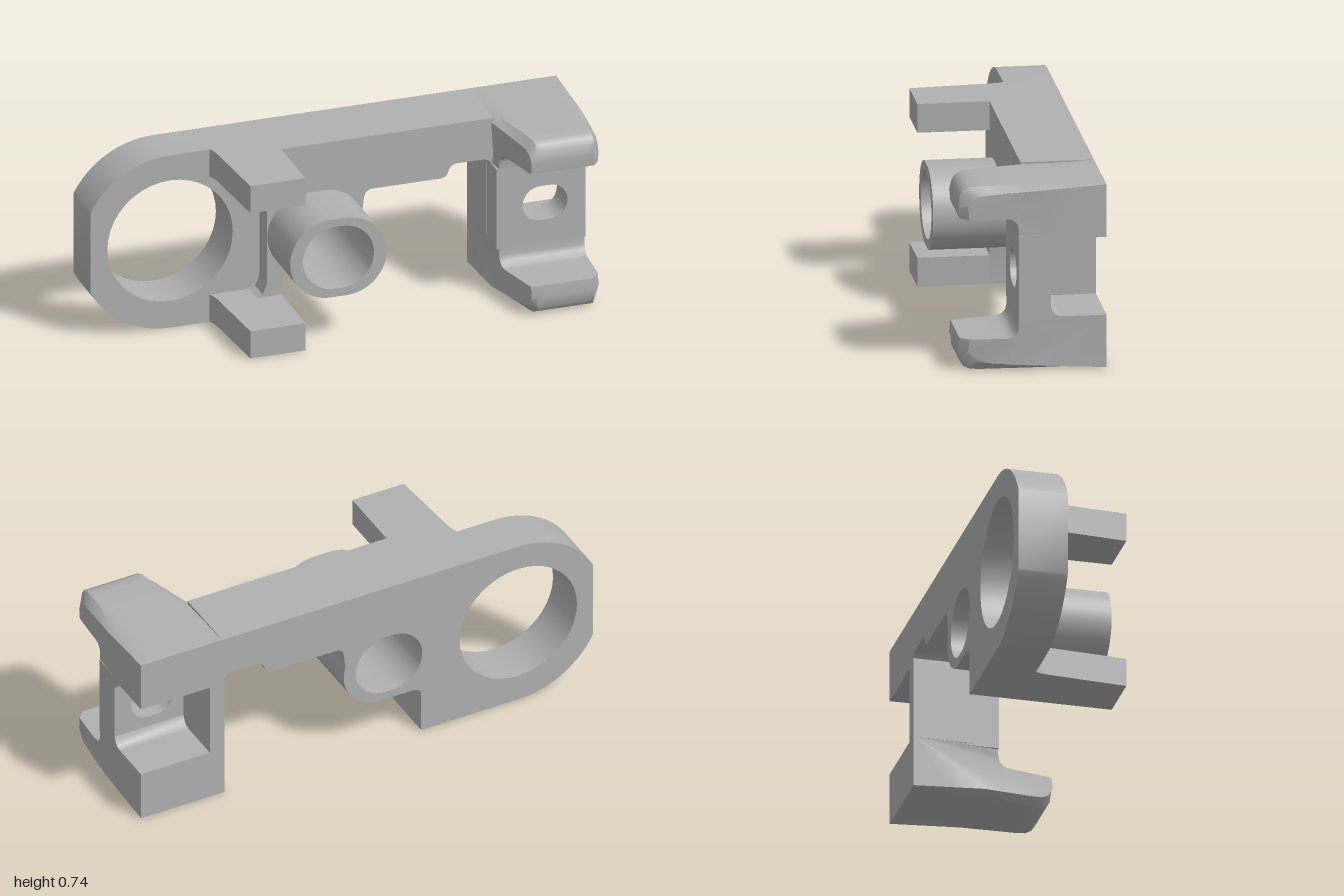
import * as THREE from 'three';
import { toCreasedNormals } from 'three/addons/utils/BufferGeometryUtils.js';

const H = 0.743, MID = H / 2, BACK = -0.29;

const poly = pts => new THREE.Shape(pts.map(p => new THREE.Vector2(p[0], p[1])));

// Horizontal oval: half width rx, half height ry, rounded ends
function oval(path, cx, cy, rx, ry) {
  const d = rx - ry;
  path.absarc(cx + d, cy, ry, -Math.PI / 2, Math.PI / 2, false);
  path.absarc(cx - d, cy, ry, Math.PI / 2, Math.PI * 1.5, false);
  path.closePath();
  return path;
}

function extrude(shape, depth, steps = 1) {
  return new THREE.ExtrudeGeometry(shape, { depth, steps, bevelEnabled: false, curveSegments: 20 });
}

export function createModel() {
  const group = new THREE.Group();
  const grey = new THREE.MeshStandardMaterial({ color: 0xb0b0b0 });
  grey.name = 'grey';
  const add = (name, geo) => {
    const mesh = new THREE.Mesh(toCreasedNormals(geo, 0.6), grey);
    mesh.name = name;
    group.add(mesh);
  };

  // Ring plate: round end cut flat at the tip, with a large bore
  const ring = new THREE.Shape();
  const cut = Math.acos(-0.33 / MID);
  ring.moveTo(-0.3, 0);
  ring.lineTo(-0.3, H);
  ring.lineTo(-0.67, H);
  ring.absarc(-0.67, MID, MID, Math.PI / 2, cut, false);
  ring.absarc(-0.67, MID, MID, 2 * Math.PI - cut, 1.5 * Math.PI, false);
  ring.closePath();
  ring.holes.push(new THREE.Path().absarc(-0.67, 0.375, 0.26, 0, Math.PI * 2, true));
  add('ringPlate', extrude(ring, 0.2).translate(0, 0, BACK));

  // Body: top bar with a stepped underside, flowing around the boss
  const body = new THREE.Shape();
  body.moveTo(-0.3, H);
  body.lineTo(-0.3, 0);
  body.lineTo(-0.24, 0);
  body.lineTo(-0.24, 0.17);
  body.quadraticCurveTo(-0.24, 0.205, -0.2, 0.205);
  body.lineTo(-0.065, 0.205);
  body.absarc(-0.065, 0.372, 0.167, -Math.PI / 2, 0.3, false);
  body.lineTo(0.102, 0.48);
  body.quadraticCurveTo(0.105, 0.515, 0.14, 0.515);
  body.lineTo(0.42, 0.515);
  body.quadraticCurveTo(0.445, 0.517, 0.452, 0.54);
  body.quadraticCurveTo(0.46, 0.57, 0.49, 0.57);
  body.lineTo(0.59, 0.57);
  body.quadraticCurveTo(0.63, 0.57, 0.635, 0.53);
  body.lineTo(0.64, H);
  body.closePath();
  body.holes.push(oval(new THREE.Path(), -0.098, 0.373, 0.147, 0.133));
  add('body', extrude(body, -BACK).translate(0, 0, BACK));

  // Hollow boss
  const boss = oval(new THREE.Shape(), -0.098, 0.372, 0.2, 0.167);
  boss.holes.push(oval(new THREE.Path(), -0.098, 0.373, 0.147, 0.133));
  add('boss', extrude(boss, 0.28).translate(0, 0, -0.01));

  // Pair of forward arms with a slightly slanted outer face
  const arm = poly([[-0.51, 0.1], [-0.497, 0.07], [-0.492, 0.04], [-0.468, -0.285],
    [-0.24, -0.285], [-0.24, 0.1]]);
  for (const [name, y] of [['lowerArm', 0], ['upperArm', H - 0.117]]) {
    add(name, extrude(arm, 0.117).rotateX(-Math.PI / 2).translate(0, y, 0));
  }

  // Small fillets where the arms meet the step of the body
  for (const s of [-1, 1]) {
    const y = MID + s * 0.256;
    const fillet = poly([[-0.3, y], [-0.345, y], [-0.318, y - s * 0.012], [-0.305, y - s * 0.04], [-0.3, y - s * 0.06]]);
    add('armFillet', extrude(fillet, 0.1).translate(0, 0, -0.1));
  }

  // Clamp jaws: side profile swept along x, tapered and rounded at the ends
  for (const s of [-1, 1]) {
    const profile = [[-0.29, 0.158], [-0.07, 0.158], [0.056, 0.158], [0.056, 0.2], [0.062, 0.222],
      [0.078, 0.238], [0.1, 0.243], [0.17, 0.243], [0.285, 0.243], [0.29, 0.29], [0.285, 0.335],
      [0.27, 0.357], [0.245, 0.369], [0.2, MID], [0.1, MID], [0, MID], [-0.15, MID], [-0.29, MID]];
    const geo = extrude(poly(profile.map(([z, h]) => [-z, MID + s * h])), 0.37, 10);
    geo.rotateY(Math.PI / 2).translate(0.63, 0, 0);
    const p = geo.attributes.position;
    for (let i = 0; i < p.count; i++) {
      let x = p.getX(i), y = p.getY(i), z = p.getZ(i);
      const u = (x - 0.63) / 0.37;
      const front = Math.max(0, z) / 0.285;
      const edge = Math.max(0, Math.abs(u - 0.5) - 0.4) / 0.1;
      const round = 0.035 * (1 - Math.sqrt(Math.max(0, 1 - edge * edge)));
      if (Math.abs(y - MID) > 0.3) y -= s * round * (z + 0.29) / 0.57;
      if (u > 0.5 && z > 0.2) z -= round;
      x += 0.065 * front * (1 - u) - 0.015 * front * u;
      p.setXYZ(i, x, y, z);
    }
    add(s > 0 ? 'upperJaw' : 'lowerJaw', geo);
  }

  // Web between the jaws, with an oval hole into the rear pocket
  const web = poly([[0.632, 0.2], [1, 0.2], [1, 0.545], [0.632, 0.545]]);
  web.holes.push(oval(new THREE.Path(), 0.833, 0.373, 0.093, 0.073));
  add('jawWeb', extrude(web, 0.126).translate(0, 0, -0.07));

  // Side wall closing the rear pocket on its inner side
  const wall = new THREE.BoxGeometry(0.065, 0.33, 0.225);
  add('pocketWall', wall.translate(0.6625, 0.373, BACK + 0.1125));

  // Rounded corners inside the pocket
  for (const s of [-1, 1]) {
    const y = MID + s * 0.158;
    const corner = poly([[0.07, y], [0.07, y - s * 0.04], [0.078, y - s * 0.018], [0.09, y - s * 0.006], [0.11, y]]);
    add('pocketFillet', extrude(corner, 0.31).rotateY(Math.PI / 2).translate(0.69, 0, 0));
  }

  return group;
}
